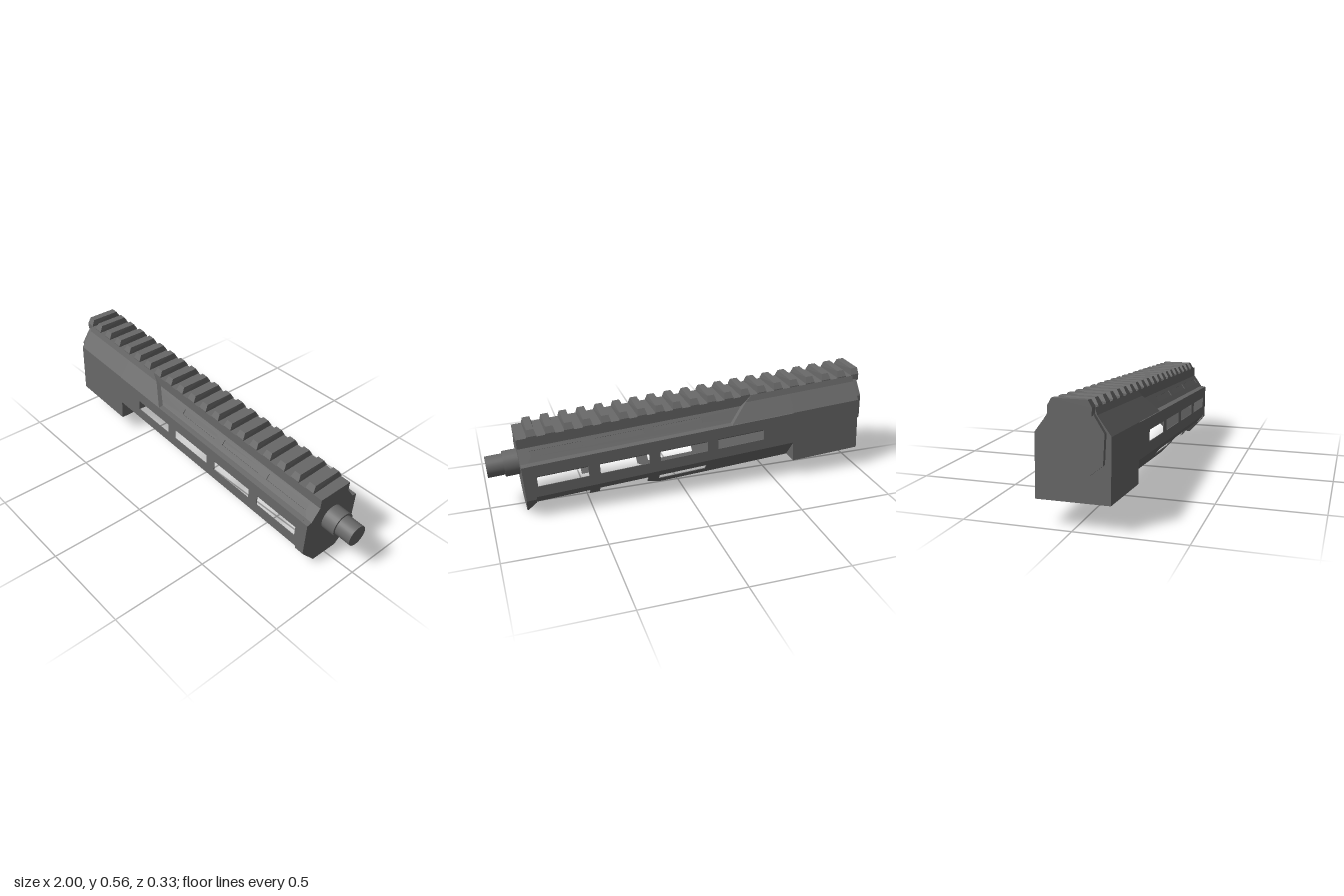
import * as THREE from 'three';

const metal = new THREE.MeshStandardMaterial({ color: 0x686868 });
metal.name = 'gunmetal grey';

// Solid along x from a half section of [z, y] points; bend(v) may move vertices
function prism(name, half, x0, x1, bend) {
  const pts = [...half, ...half.map(([z, y]) => [-z, y]).reverse()];
  const shape = new THREE.Shape(pts.map(([z, y]) => new THREE.Vector2(z, y)));
  const geo = new THREE.ExtrudeGeometry(shape, { depth: x1 - x0, bevelEnabled: false });
  geo.rotateY(Math.PI / 2).translate(x0, 0, 0);
  if (bend) {
    const p = geo.attributes.position;
    const mid = (x0 + x1) / 2;
    for (let i = 0; i < p.count; i++) p.setX(i, bend(p.getX(i), p.getY(i), p.getX(i) > mid));
    geo.computeVertexNormals();
  }
  const mesh = new THREE.Mesh(geo, metal);
  mesh.name = name;
  return mesh;
}

// Pair of plates on a facet from a down to b ([z, y]); outline and holes in [x, y]
function panels(name, a, b, outline, holes, t) {
  const group = new THREE.Group();
  group.name = name;
  const dz = b[0] - a[0], dy = b[1] - a[1], len = Math.hypot(dz, dy);
  const flat = ([x, y]) => new THREE.Vector2(x, (y - a[1]) * len / -dy);
  const shape = new THREE.Shape(outline.map(flat));
  for (const [x0, x1, y0, y1] of holes) {
    shape.holes.push(new THREE.Path([[x0, y0], [x0, y1], [x1, y1], [x1, y0]].map(flat)));
  }
  for (const s of [1, -1]) {
    const geo = new THREE.ExtrudeGeometry(shape, { depth: t, bevelEnabled: false });
    geo.translate(0, 0, s > 0 ? -t : 0);
    const m = new THREE.Matrix4().makeBasis(
      new THREE.Vector3(1, 0, 0),
      new THREE.Vector3(0, -dy / len, -s * dz / len),
      new THREE.Vector3(0, s * dz / len, -dy / len));
    m.setPosition(0, a[1], s * a[0]);
    geo.applyMatrix4(m);
    const mesh = new THREE.Mesh(geo, metal);
    mesh.name = name + (s > 0 ? 'Front' : 'Back');
    group.add(mesh);
  }
  return group;
}

function tube(name, r, x0, x1) {
  const geo = new THREE.CylinderGeometry(r, r, x1 - x0, 32);
  geo.rotateZ(-Math.PI / 2).translate((x0 + x1) / 2, 0, 0);
  const mesh = new THREE.Mesh(geo, metal);
  mesh.name = name;
  return mesh;
}

const rect = (x0, x1, y0, y1) => [[x0, y0], [x1, y0], [x1, y1], [x0, y1]];

export function createModel() {
  const model = new THREE.Group();
  const body = new THREE.Group();
  body.name = 'handguard';
  model.add(body);

  // Rear block, and the shoulder whose front end slants back into the recess
  body.add(prism('rearBlock',
    [[0.167, -0.239], [0.167, 0.046], [0.105, 0.13], [0.095, 0.16]], -0.976, -0.594));
  body.add(prism('rearShoulder',
    [[0.167, 0.046], [0.105, 0.13], [0.095, 0.16]], -0.6, -0.25,
    (x, y, front) => front ? -0.25 - (y - 0.046) * 1.2 : x));
  body.add(prism('rearPlate',
    [[0.08, -0.118], [0.14, -0.07], [0.145, 0.06], [0.1, 0.13], [0.08, 0.16]], -1.0, -0.97));

  // Upper cap with shallow slots in its recessed facets
  body.add(prism('upperCap',
    [[0.136, 0.046], [0.092, 0.107], [0.095, 0.11], [0.095, 0.16]], -0.6, 0.8));
  body.add(panels('upperFacet', [0.095, 0.11], [0.14, 0.047], rect(-0.42, 0.8, 0.047, 0.11),
    [-0.105, 0.205, 0.52].map(x => [x, x + 0.257, 0.071, 0.095]), 0.004));
  body.add(panels('upperLedge', [0.14, 0.048], [0.167, 0.043], rect(-0.6, 0.8, 0.043, 0.048),
    [], 0.004));

  // Thin side walls with four through slots
  body.add(panels('sideWall', [0.167, 0.043], [0.167, -0.13], rect(-0.6, 0.8, -0.13, 0.043),
    [-0.424, -0.112, 0.201, 0.514].map(x => [x, x + 0.255, -0.074, -0.018]), 0.004));

  // Lower facets with the open loop and small tab
  body.add(panels('lowerFacet', [0.167, -0.13], [0.077, -0.243],
    [[-0.6, -0.13], [-0.6, -0.24], [0.137, -0.243], [0.207, -0.211], [0.207, -0.173],
      [0.462, -0.173], [0.462, -0.207], [0.514, -0.207], [0.514, -0.175],
      [0.8, -0.177], [0.8, -0.13]],
    [[-0.11, 0.146, -0.208, -0.175]], 0.004));

  // Front plate, its lower tip thinning to a point
  body.add(prism('frontPlate',
    [[0.077, -0.245], [0.14, -0.175], [0.167, -0.143], [0.167, 0.042], [0.14, 0.047],
      [0.095, 0.11], [0.095, 0.16]], 0.785, 0.835,
    (x, y, front) => !front && y < -0.2 ? 0.828 : x));

  // Toothed top rail
  const rail = new THREE.Group();
  rail.name = 'topRail';
  const toothSection = [[0.095, 0.13], [0.095, 0.165], [0.078, 0.195]];
  const taper = (x, y, front) => y > 0.18 ? x + (front ? -0.007 : 0.007) : x;
  rail.add(prism('railTooth', toothSection, -1.012, -0.968,
    (x, y, front) => front ? taper(x, y, front) : x));
  for (let i = 0; i < 19; i++) {
    const c = -0.912 + i * 0.0928;
    rail.add(prism('railTooth', toothSection, c - 0.025, c + 0.025, taper));
  }
  body.add(rail);

  // Inner tube and stepped front stub
  body.add(tube('innerTube', 0.1, -0.6, 0.79));
  body.add(tube('stubCollar', 0.065, 0.82, 0.908));
  body.add(tube('stubEnd', 0.054, 0.9, 0.993));

  // Whole part leans slightly forward
  body.rotation.z = -0.064;
  body.position.set(0.004, 0.297, 0);
  return model;
}
